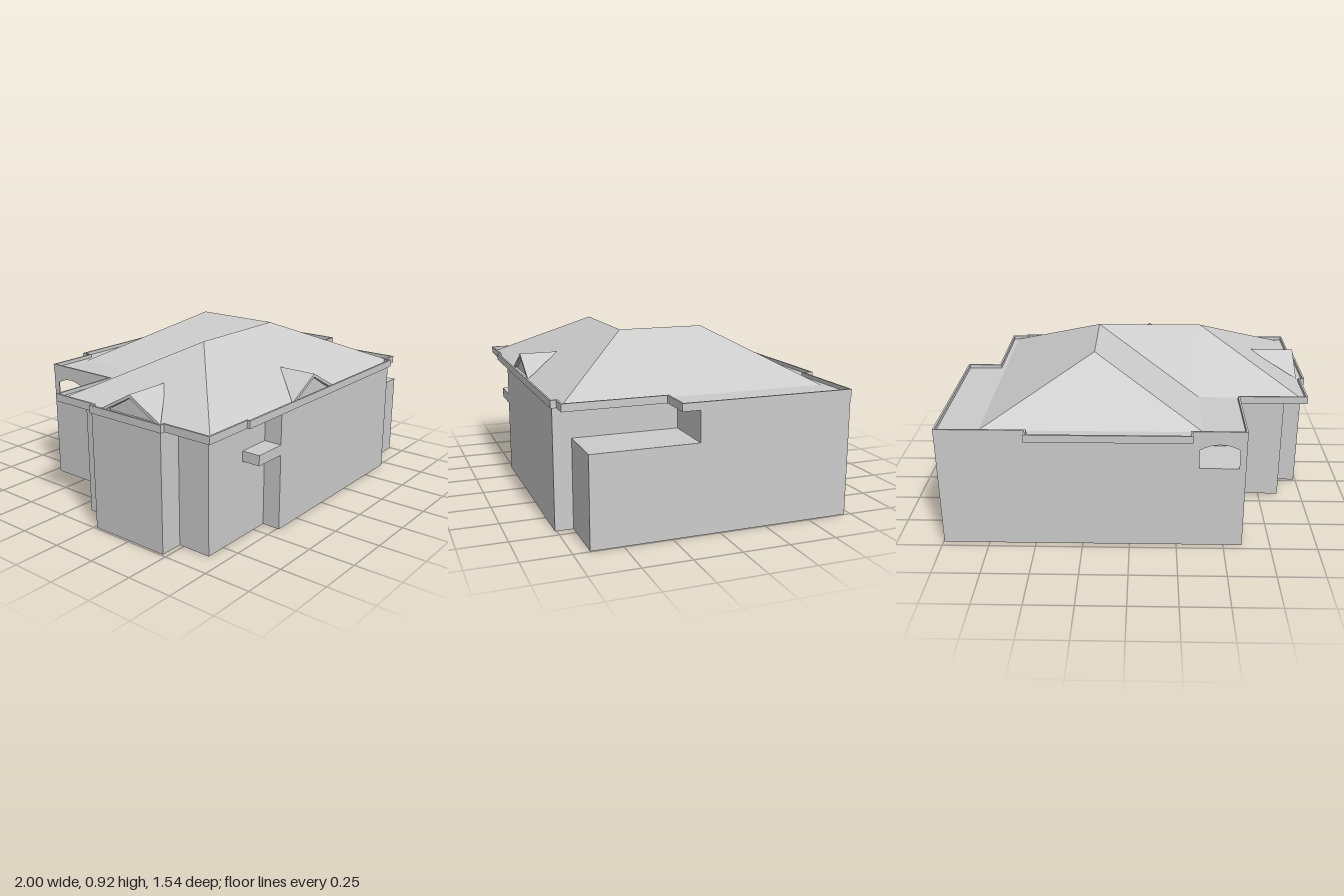
import * as THREE from 'three';

const mat = new THREE.MeshStandardMaterial({ color: 0xcccccc, side: THREE.DoubleSide, flatShading: true });
const WALL_TOP = 0.63, DECK = 0.65, RIM_TOP = 0.67, RIDGE = 0.915, TERRACE = 0.47;

function addMesh(parent, name, geometry) {
  const mesh = new THREE.Mesh(geometry, mat);
  mesh.name = name;
  parent.add(mesh);
  return mesh;
}

// Flat polygons (corner lists) fanned into one geometry
function facets(polygons) {
  const pos = [];
  for (const p of polygons)
    for (let i = 1; i < p.length - 1; i++) pos.push(...p[0], ...p[i], ...p[i + 1]);
  const g = new THREE.BufferGeometry();
  g.setAttribute('position', new THREE.Float32BufferAttribute(pos, 3));
  g.computeVertexNormals();
  return g;
}

// Upright wall sheet from a to b ([x, z]), outside on the right-hand side of travel
function wall(parent, name, a, b, y0 = 0, y1 = WALL_TOP, hole = null) {
  const dx = b[0] - a[0], dz = b[1] - a[1], len = Math.hypot(dx, dz);
  const shape = new THREE.Shape([[0, y0], [len, y0], [len, y1], [0, y1]].map(p => new THREE.Vector2(...p)));
  if (hole) shape.holes.push(hole);
  const mesh = addMesh(parent, name, new THREE.ShapeGeometry(shape, 8));
  mesh.position.set(a[0], 0, a[1]);
  mesh.rotation.y = Math.atan2(-dz, dx);
}

// Opening with a shallow arched head
function archHole(u0, u1) {
  const h = new THREE.Path();
  h.moveTo(u0, 0.46);
  h.lineTo(u0, 0.565);
  h.quadraticCurveTo((u0 + u1) / 2, 0.625, u1, 0.565);
  h.lineTo(u1, 0.46);
  h.closePath();
  return h;
}

// Horizontal rectangle
function floor(parent, name, x0, x1, z0, z1, y) {
  addMesh(parent, name, facets([[[x0, y, z0], [x0, y, z1], [x1, y, z1], [x1, y, z0]]]));
}

// Shrink a right-angled outline by d
function inset(pts, d) {
  const n = pts.length;
  const normal = (a, b) => {
    const l = Math.hypot(b[0] - a[0], b[1] - a[1]);
    return [(b[1] - a[1]) / l, -(b[0] - a[0]) / l];
  };
  return pts.map((p, i) => {
    const m = normal(pts[(i + n - 1) % n], p), k = normal(p, pts[(i + 1) % n]);
    return [p[0] + d * (m[0] + k[0]), p[1] + d * (m[1] + k[1])];
  });
}

// Extrude an [x, z] outline upwards from y0 to y1
function slab(outline, y0, y1, holeOutline) {
  const vec = pts => pts.map(([x, z]) => new THREE.Vector2(x, -z));
  const shape = new THREE.Shape(vec(outline));
  if (holeOutline) shape.holes.push(new THREE.Path(vec(holeOutline)));
  const g = new THREE.ExtrudeGeometry(shape, { depth: y1 - y0, bevelEnabled: false });
  return g.rotateX(-Math.PI / 2).translate(0, y0, 0);
}

// Small gable: ridge runs along local z from 0 (front) back into the roof
function dormer(name, depth) {
  const g = new THREE.Group();
  g.name = name;
  const w = 0.2, top = 0.762, low = 0.652, t = 0.018, back = -0.015;
  for (const s of [-1, 1]) {
    const apex = [0, top, 0], foot = [s * w, low, 0], end = [0, top, -depth];
    const apexIn = [0, top - t, 0], footIn = [s * (w - 0.033), low, 0], endIn = [0, top - t, -depth];
    const polys = [[apex, foot, end], [apexIn, endIn, footIn], [apex, apexIn, footIn, foot]];
    addMesh(g, s < 0 ? 'dormerSlopeA' : 'dormerSlopeB', facets(s < 0 ? polys : polys.map(p => p.reverse())));
  }
  addMesh(g, 'dormerGable', facets([[[-w + 0.04, low, back], [w - 0.04, low, back], [0, top - t, back]]]));
  return g;
}

export function createModel() {
  const model = new THREE.Group();
  model.name = 'house';

  // Outer walls, open at the bottom
  const walls = new THREE.Group();
  walls.name = 'walls';
  model.add(walls);
  const run = [
    [0.7, 0.665], [0.7, 0.76]
  ];
  wall(walls, 'sideReturnWall', run[1], run[0]);
  const front = [
    [-0.6, -0.16], [-0.865, -0.16], [-0.865, 0.015], [-0.99, 0.015], [-0.99, 0.475],
    [-0.865, 0.475], [-0.865, 0.66], [-0.415, 0.66], [-0.415, 0.76], [0.7, 0.76]
  ];
  for (let i = 0; i < front.length - 1; i++) wall(walls, 'outerWall', front[i], front[i + 1]);
  wall(walls, 'sideWall', [0.995, 0.11], [0.995, -0.715]);
  wall(walls, 'backWall', [0.995, -0.715], [-0.6, -0.715], 0, WALL_TOP, archHole(1.355, 1.56));
  wall(walls, 'backSideWall', [-0.6, -0.715], [-0.6, -0.16], 0, WALL_TOP, archHole(0.035, 0.24));

  // Corner balcony behind the arched openings
  const balcony = new THREE.Group();
  balcony.name = 'cornerBalcony';
  model.add(balcony);
  floor(balcony, 'balconyFloor', -0.6, -0.34, -0.715, -0.455, 0.46);
  wall(balcony, 'balconyInnerWall', [-0.34, -0.715], [-0.34, -0.455], 0.46);
  wall(balcony, 'balconyInnerWall', [-0.34, -0.455], [-0.6, -0.455], 0.46);

  // Side terrace
  const terrace = new THREE.Group();
  terrace.name = 'terrace';
  model.add(terrace);
  wall(terrace, 'terraceFront', [0.7, 0.665], [0.995, 0.665], 0, TERRACE);
  wall(terrace, 'terraceSide', [0.995, 0.665], [0.995, 0.11], 0, TERRACE);
  floor(terrace, 'terraceFloor', 0.7, 0.995, 0.11, 0.665, TERRACE);
  wall(terrace, 'terraceInnerWall', [0.7, 0.665], [0.7, 0.11], TERRACE);
  wall(terrace, 'terraceEndWall', [0.7, 0.11], [0.995, 0.11], TERRACE);

  // Ledge in the front recess
  addMesh(model, 'frontLedge', new THREE.BoxGeometry(0.185, 0.055, 0.1)).position.set(-0.5075, 0.4375, 0.71);

  // Eaves deck with a thin raised rim
  const eaves = [
    [-0.6, -0.72], [-0.6, -0.265], [-0.975, -0.265], [-0.975, 0.01], [-1, 0.01], [-1, 0.485],
    [-0.975, 0.485], [-0.975, 0.755], [-0.695, 0.755], [-0.695, 0.77], [0.715, 0.77], [0.715, 0.74],
    [0.805, 0.74], [0.805, 0.205], [0.995, 0.205], [0.995, -0.72], [0.53, -0.72], [0.53, -0.775],
    [-0.32, -0.775], [-0.32, -0.72]
  ];
  addMesh(model, 'eavesDeck', slab(eaves, WALL_TOP, DECK));
  addMesh(model, 'eavesRim', slab(eaves, DECK, RIM_TOP, inset(eaves, 0.01)));

  // L-shaped hip roof
  const a = [-0.4, RIDGE, 0.25], b = [0.2, RIDGE, 0.25], c = [0.2, RIDGE, -0.23];
  const fl = [-0.94, DECK, 0.73], fr = [0.77, DECK, 0.73], br = [0.77, DECK, -0.68];
  const bl = [-0.375, DECK, -0.68], valley = [-0.375, DECK, -0.23], wing = [-0.94, DECK, -0.23];
  addMesh(model, 'hipRoof', facets([
    [fl, fr, b, a], [fr, br, c, b], [br, bl, c], [bl, valley, b, c], [valley, wing, a, b], [wing, fl, a]
  ]));

  // Dormers on the front and the side
  const frontDormer = dormer('frontDormer', 0.215);
  frontDormer.position.set(-0.1, 0, 0.745);
  const sideDormer = dormer('sideDormer', 0.26);
  sideDormer.position.set(-0.96, 0, 0.25);
  sideDormer.rotation.y = -Math.PI / 2;
  model.add(frontDormer, sideDormer);

  return model;
}
